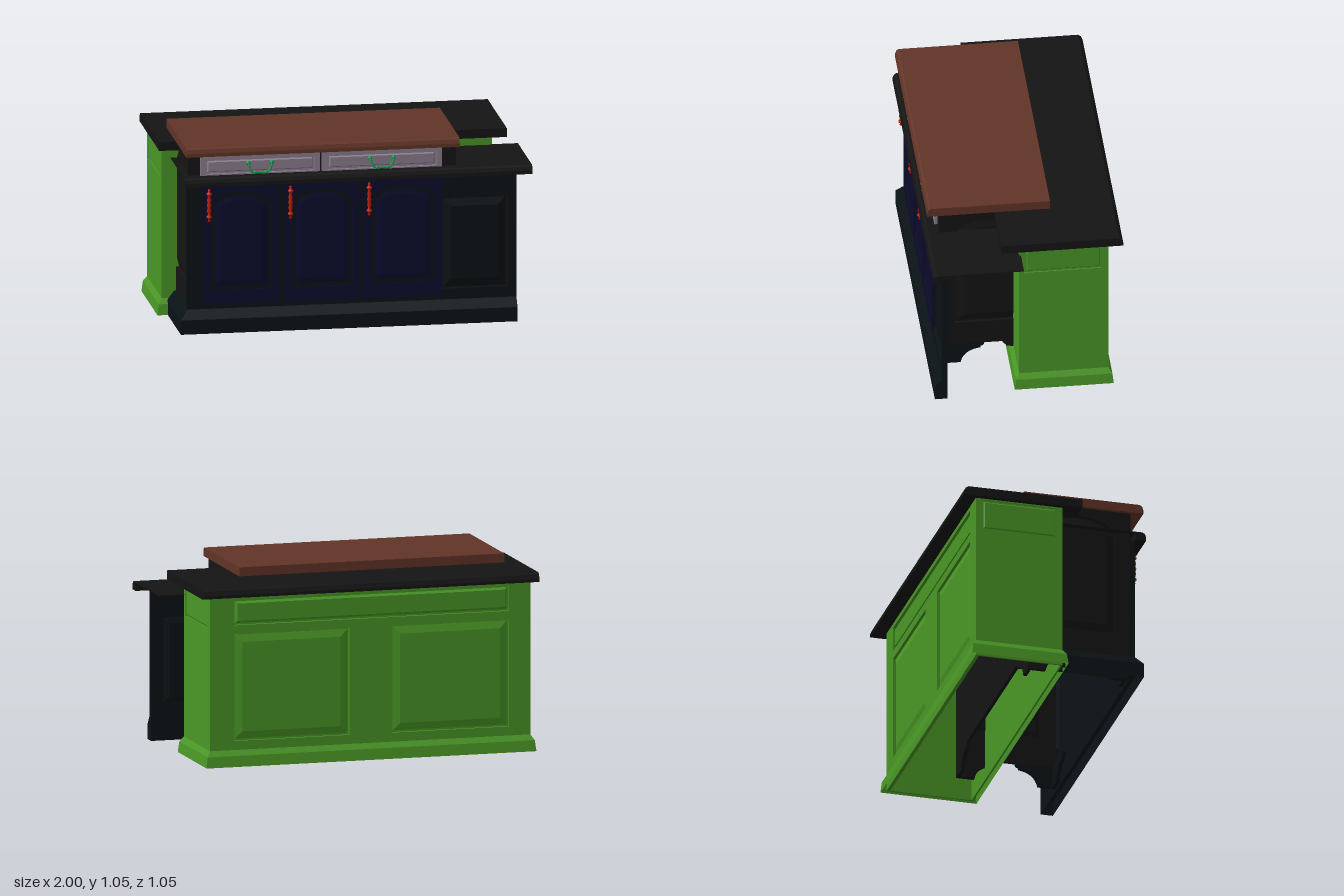
import * as THREE from 'three';

const mat = (color) => new THREE.MeshStandardMaterial({ color, roughness: 0.8, side: THREE.DoubleSide });
const green = mat(0x4a9826), black = mat(0x141414), wood = mat(0x623427), navy = mat(0x0b0b2c);
const slate = mat(0x0b1215), lilac = mat(0x8d7f90), red = mat(0xc81c0a), jade = mat(0x0fa052);

function add(parent, name, geo, m, x = 0, y = 0, z = 0) {
  const mesh = new THREE.Mesh(geo, m);
  mesh.name = name;
  mesh.position.set(x, y, z);
  parent.add(mesh);
  return mesh;
}

// Rectangle from two corners, with an optional arched top of the given rise
function outline([x0, y0, x1, y1, rise = 0], inset = 0) {
  x0 += inset; y0 += inset; x1 -= inset; y1 -= inset;
  const s = new THREE.Shape();
  s.moveTo(x0, y0);
  s.lineTo(x1, y0);
  s.lineTo(x1, y1 - rise);
  if (rise) s.absellipse((x0 + x1) / 2, y1 - rise, (x1 - x0) / 2, rise, 0, Math.PI, false);
  else s.lineTo(x0, y1);
  s.closePath();
  return s;
}

const extrude = (shape, depth) =>
  new THREE.ExtrudeGeometry(shape, { depth, bevelEnabled: false, curveSegments: 16 });

// Framed wall facing +z (face at z = 0) with a raised field in each opening;
// an opening is [x0, y0, x1, y1, arch rise, bevel width]
function panelWall(parent, name, rect, openings, depth, m) {
  const g = new THREE.Group();
  g.name = name;
  const frame = outline(rect);
  frame.holes = openings.map((o) => outline(o));
  add(g, name + 'Frame', extrude(frame, depth), m, 0, 0, -depth);
  for (const o of openings) {
    const bevel = o[5] ?? 0.04;
    add(g, name + 'Backing', extrude(outline(o, -0.005), 0.004), m, 0, 0, -depth);
    const field = new THREE.ExtrudeGeometry(outline(o, 0.01), {
      depth: 0.001, bevelThickness: depth * 0.5, bevelSize: bevel, bevelOffset: -bevel,
      bevelSegments: 1, curveSegments: 16,
    });
    add(g, name + 'Field', field, m, 0, 0, 0.004 - depth);
  }
  parent.add(g);
  return g;
}

// Slab running along x with a [z, y] profile
function slab(parent, name, x0, x1, profile, m) {
  const geo = extrude(new THREE.Shape(profile.map(([z, y]) => new THREE.Vector2(z, y))), x1 - x0);
  geo.rotateY(-Math.PI / 2);
  return add(parent, name, geo, m, x1);
}

// Closed plan outlines [x, z] stacked at heights and joined into faceted walls
function loft(rings) {
  const pos = [];
  for (let i = 0; i + 1 < rings.length; i++) {
    const a = rings[i], b = rings[i + 1], n = a.pts.length;
    for (let j = 0; j < n; j++) {
      const k = (j + 1) % n;
      const v = (r, q) => [r.pts[q][0], r.y, r.pts[q][1]];
      pos.push(...v(a, j), ...v(a, k), ...v(b, k), ...v(a, j), ...v(b, k), ...v(b, j));
    }
  }
  const geo = new THREE.BufferGeometry();
  geo.setAttribute('position', new THREE.Float32BufferAttribute(pos, 3));
  geo.computeVertexNormals();
  return geo;
}

function buildBackCabinet() {
  const g = new THREE.Group();
  g.name = 'backCabinet';
  // Panelled back, two sides and a plain front, open underneath
  const back = panelWall(g, 'backWall', [-0.855, 0, 0.97, 0.945],
    [[-0.72, 0.78, 0.85, 0.92, 0, 0.012], [-0.72, 0.14, -0.06, 0.735], [0.18, 0.14, 0.85, 0.735]], 0.02, green);
  back.rotation.y = Math.PI;
  back.position.z = -0.45;
  const right = panelWall(g, 'rightWall', [-0.04, 0, 0.45, 0.945], [[-0.01, 0.76, 0.415, 0.937, 0, 0.006]], 0.01, green);
  right.rotation.y = Math.PI / 2;
  right.position.x = 0.855;
  const left = panelWall(g, 'leftWall', [-0.45, 0, 0.04, 0.945], [[-0.415, 0.76, 0.01, 0.937, 0, 0.006]], 0.01, green);
  left.rotation.y = -Math.PI / 2;
  left.position.x = -0.97;
  add(g, 'frontWall', new THREE.BoxGeometry(1.825, 0.945, 0.01), green, -0.0575, 0.4725, 0.035);
  // Sloped base moulding around all sides
  const ring = (y, o) => ({
    y, pts: [[-0.97 - o, 0.04 + o], [0.855 + o, 0.04 + o], [0.855 + o, -0.45 - o], [-0.97 - o, -0.45 - o]],
  });
  add(g, 'backBaseMoulding', loft([ring(0, 0.027), ring(0.06, 0.02), ring(0.09, 0)]), green);
  return g;
}

function buildInnerCabinet() {
  const g = new THREE.Group();
  g.name = 'innerCabinet';
  // Carcass without a floor: back board and the rail behind the drawers
  add(g, 'backBoard', new THREE.BoxGeometry(1.46, 0.873, 0.02), black, -0.15, 0.5585, -0.12);
  add(g, 'drawerRail', new THREE.BoxGeometry(1.48, 0.165, 0.02), black, -0.15, 0.9125, 0.437);
  // Arched side panels
  for (const s of [1, -1]) {
    const rect = s > 0 ? [-0.445, 0.122, 0.13, 0.995] : [-0.13, 0.122, 0.445, 0.995];
    const hole = s > 0 ? [-0.36, 0.265, 0.06, 0.945, 0.1] : [-0.06, 0.265, 0.36, 0.945, 0.1];
    const side = panelWall(g, s > 0 ? 'rightArchedSide' : 'leftArchedSide', rect, [hole], 0.02, black);
    side.rotation.y = s * Math.PI / 2;
    side.position.x = s > 0 ? 0.59 : -0.89;
  }
  // Scrolled bracket feet, two wings at each corner
  const foot = new THREE.Shape();
  foot.moveTo(0, 0);
  foot.lineTo(0.1, 0);
  foot.quadraticCurveTo(0.115, 0.08, 0.21, 0.09);
  foot.lineTo(0.21, 0.1);
  foot.quadraticCurveTo(0.23, 0.105, 0.23, 0.125);
  foot.lineTo(0, 0.125);
  const wing = extrude(foot, 0.02);
  for (const [x, sx] of [[-0.88, 1], [0.59, -1]]) {
    for (const [z, sz, m] of [[-0.13, 1, black], [0.43, -1, slate]]) {
      const corner = new THREE.Group();
      corner.name = 'bracketFoot';
      corner.position.set(x, 0, z);
      corner.scale.set(sx, 1, sz);
      add(corner, 'footWingAcross', wing, m);
      add(corner, 'footWingDeep', wing, m, 0.02).rotation.y = -Math.PI / 2;
      g.add(corner);
    }
  }
  return g;
}

function buildFront() {
  const g = new THREE.Group();
  g.name = 'frontCabinet';
  // Face frame with one fixed panel at the right-hand end
  panelWall(g, 'faceFrame', [-0.9, 0.1, 0.92, 0.83], [[0.51, 0.19, 0.87, 0.7]], 0.03, slate).position.z = 0.47;
  // Flared base along the front and the left end
  const ring = (y, ox, oz) => ({
    y, pts: [[0.92, 0.45 + oz], [0.92, 0.44], [-0.88, 0.44], [-0.88, 0.04], [-0.9 - ox, 0.04], [-0.9 - ox, 0.45 + oz]],
  });
  add(g, 'frontBaseMoulding', loft([ring(0, 0.04, 0.06), ring(0.08, 0.038, 0.06), ring(0.13, 0, 0.022), ring(0.13, -0.02, -0.01)]), slate);

  // Turned door handle on two stubs
  const turned = new THREE.LatheGeometry([
    [0, -0.095], [0.008, -0.088], [0.004, -0.075], [0.015, -0.068], [0.015, -0.062], [0.006, -0.05],
    [0.012, -0.03], [0.008, -0.015], [0.013, 0], [0.008, 0.015], [0.012, 0.03], [0.006, 0.05],
    [0.015, 0.062], [0.015, 0.068], [0.004, 0.075], [0.008, 0.088], [0, 0.095],
  ].map(([x, y]) => new THREE.Vector2(x, y)), 14);
  const stub = new THREE.CylinderGeometry(0.006, 0.006, 0.03, 10).rotateX(Math.PI / 2);

  // Three arched doors
  for (const [x0, x1] of [[-0.815, -0.395], [-0.365, 0.055], [0.07, 0.51]]) {
    panelWall(g, 'archedDoor', [x0, 0.155, x1, 0.825], [[x0 + 0.045, 0.235, x1 - 0.04, 0.785, 0.085]], 0.014, navy)
      .position.z = 0.477;
    const handle = new THREE.Group();
    handle.name = 'doorHandle';
    handle.position.set(x0 + 0.033, 0.718, 0.497);
    add(handle, 'turnedGrip', turned, red);
    for (const y of [-0.068, 0.068]) add(handle, 'gripStub', stub, red, 0, y, -0.012);
    g.add(handle);
  }
  return g;
}

function buildDrawers() {
  const g = new THREE.Group();
  g.name = 'drawers';
  // Drooping bail pull
  const bail = new THREE.TubeGeometry(new THREE.CatmullRomCurve3([
    [-0.065, 0.943, 0.465], [-0.064, 0.938, 0.483], [-0.058, 0.918, 0.488], [-0.045, 0.898, 0.491], [-0.025, 0.893, 0.491],
    [0.025, 0.893, 0.491], [0.045, 0.898, 0.491], [0.058, 0.918, 0.488], [0.064, 0.938, 0.483], [0.065, 0.943, 0.465],
  ].map((p) => new THREE.Vector3(...p))), 40, 0.0055, 8);
  const knob = new THREE.SphereGeometry(0.012, 14, 10);
  for (const [x0, x1] of [[-0.825, -0.163], [-0.152, 0.51]]) {
    panelWall(g, 'drawerFront', [x0, 0.84, x1, 0.995], [[x0 + 0.03, 0.885, x1 - 0.03, 0.967, 0, 0.006]], 0.018, lilac)
      .position.z = 0.465;
    const pull = new THREE.Group();
    pull.name = 'drawerPull';
    pull.position.x = (x0 + x1) / 2 - 0.003;
    add(pull, 'bail', bail, jade);
    for (const s of [-1, 1]) {
      add(pull, 'pullKnob', knob, jade, s * 0.065, 0.943, 0.474);
      add(pull, 'pullBead', knob, jade, s * 0.03, 0.893, 0.491).scale.setScalar(0.8);
    }
    g.add(pull);
  }
  return g;
}

export function createModel() {
  const model = new THREE.Group();
  model.name = 'kitchenIsland';
  model.add(buildBackCabinet(), buildInnerCabinet(), buildFront(), buildDrawers());
  // Worktops with eased outer edges; the front one is a thin sheet with a deep lip
  slab(model, 'backCounter', -1, 0.92,
    [[0.145, 0.945], [0.145, 0.995], [-0.5, 0.995], [-0.515, 0.985], [-0.525, 0.96], [-0.525, 0.945]], black);
  slab(model, 'frontCounter', -0.92, 1,
    [[0.03, 0.874], [0.467, 0.874], [0.467, 0.83], [0.527, 0.83], [0.527, 0.85], [0.52, 0.87], [0.507, 0.878], [0.03, 0.878]], black);
  slab(model, 'woodTop', -0.91, 0.6,
    [[-0.16, 0.996], [0.515, 0.996], [0.515, 1.015], [0.508, 1.037], [0.495, 1.046], [-0.16, 1.046]], wood);
  return model;
}
